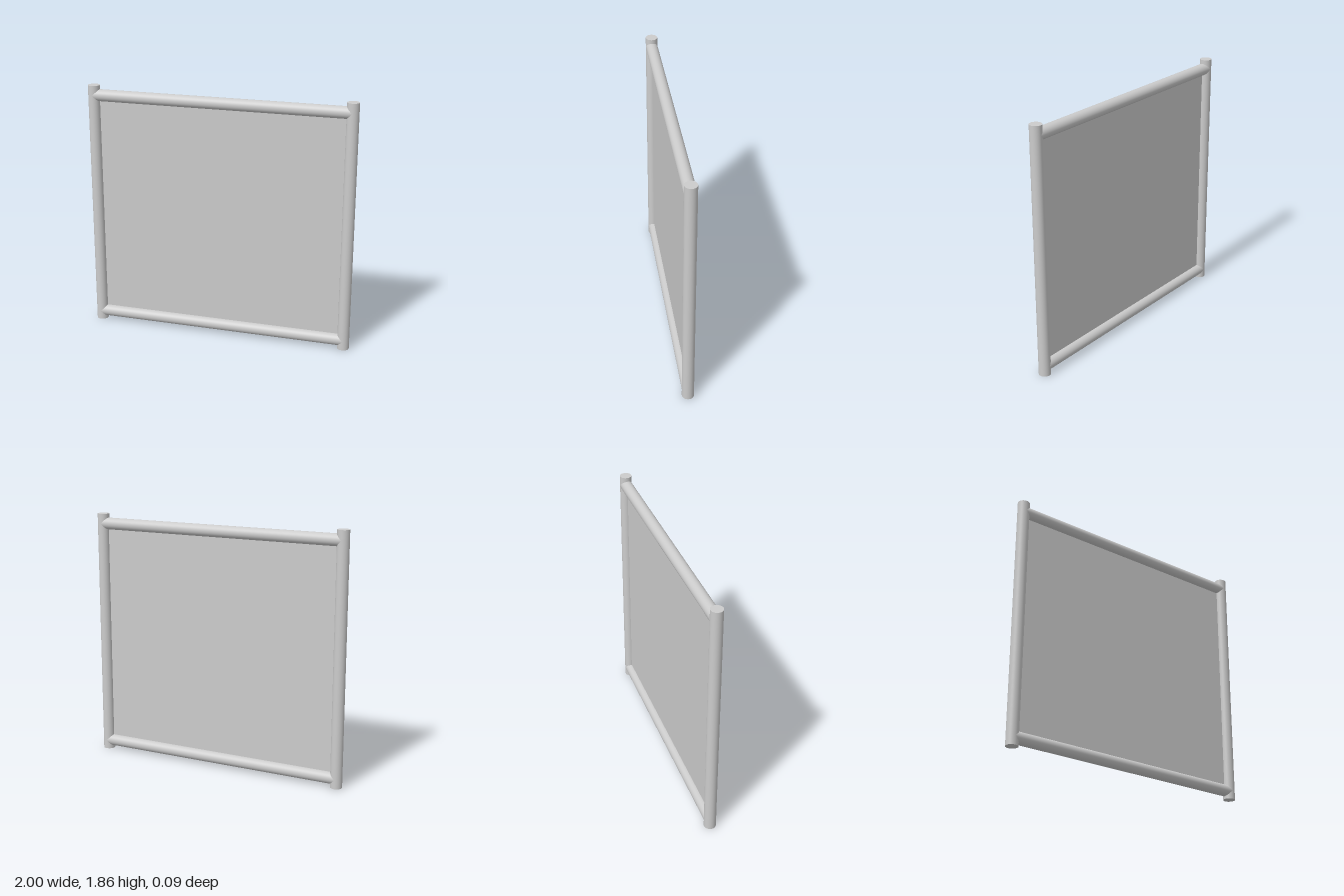
import * as THREE from 'three';

export function createModel() {
  const group = new THREE.Group();
  const material = new THREE.MeshStandardMaterial({ color: 0xcccccc });
  const panelMaterial = new THREE.MeshStandardMaterial({ color: 0xcccccc, side: THREE.DoubleSide });

  const radius = 0.044, height = 1.86, postX = 1 - radius;
  const railLow = 0.066, railHigh = 1.786;

  const add = (name, geometry, mat, x, y) => {
    const mesh = new THREE.Mesh(geometry, mat);
    mesh.name = name;
    mesh.position.set(x, y, 0);
    group.add(mesh);
    return mesh;
  };

  // Upright posts
  const postGeometry = new THREE.CylinderGeometry(radius, radius, height, 40);
  add('leftPost', postGeometry, material, postX, height / 2);
  add('rightPost', postGeometry, material, -postX, height / 2);

  // Horizontal rails, ending on the post axes
  const railGeometry = new THREE.CylinderGeometry(radius, radius, 2 * postX, 40).rotateZ(Math.PI / 2);
  add('topRail', railGeometry, material, 0, railHigh);
  add('bottomRail', railGeometry, material, 0, railLow);

  // Thin sheet filling the frame
  const panelGeometry = new THREE.PlaneGeometry(2 * postX, railHigh - railLow);
  add('panel', panelGeometry, panelMaterial, 0, (railLow + railHigh) / 2);

  return group;
}
